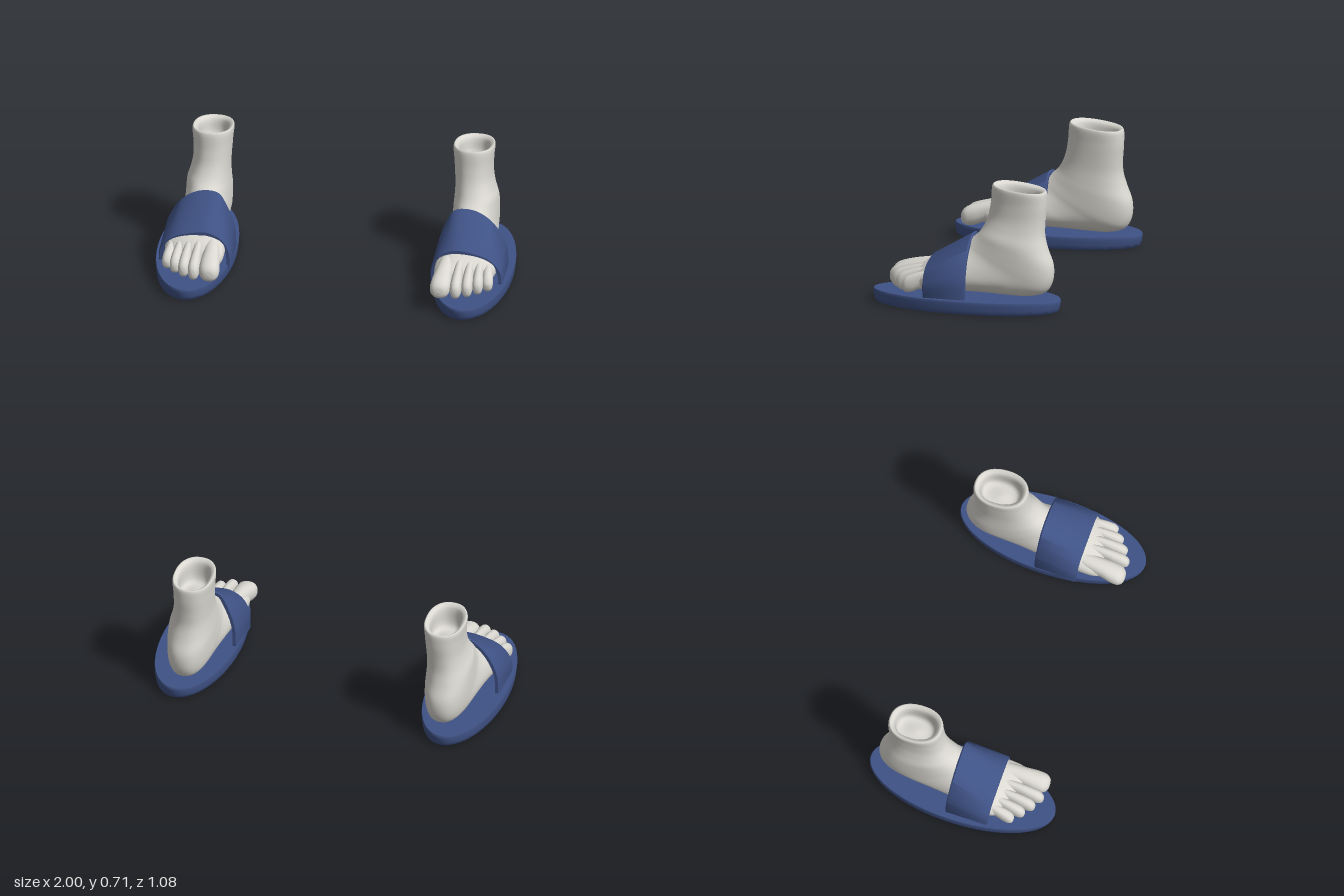
import * as THREE from 'three';
import { toCreasedNormals } from 'three/addons/utils/BufferGeometryUtils.js';

const V = (x, y, z = 0) => new THREE.Vector3(x, y, z);
const spow = (v, e) => Math.sign(v) * Math.abs(v) ** e;

// Skin a list of closed rings (arrays of Vector3); side -1 mirrors across x
function skin(rings, side) {
  const n = rings[0].length, pos = [], idx = [];
  for (const r of rings) for (const p of r) pos.push(p.x * side, p.y, p.z);
  for (let i = 0; i < rings.length - 1; i++) {
    for (let j = 0; j < n; j++) {
      const a = i * n + j, b = i * n + (j + 1) % n, c = a + n, d = b + n;
      if (side > 0) idx.push(a, c, b, b, c, d);
      else idx.push(a, b, c, b, d, c);
    }
  }
  const g = new THREE.BufferGeometry();
  g.setAttribute('position', new THREE.Float32BufferAttribute(pos, 3));
  g.setIndex(idx);
  g.computeVertexNormals();
  return g;
}

// Smooth loft; each section is [backY, backZ, frontY, frontZ, centreX, halfWidth]
function loft(sections, side, steps, n, bend = p => p) {
  const back = new THREE.CatmullRomCurve3(sections.map(s => V(s[0], s[1], s[4])));
  const front = new THREE.CatmullRomCurve3(sections.map(s => V(s[2], s[3], s[5])));
  const rings = [];
  for (let i = 0; i <= steps; i++) {
    const b = back.getPoint(i / steps), f = front.getPoint(i / steps);
    const ring = [];
    for (let j = 0; j < n; j++) {
      const t = j / n * Math.PI * 2;
      const c = (1 + spow(Math.cos(t), 0.88)) / 2, s = spow(Math.sin(t), 0.88);
      ring.push(bend(V(b.z + Math.max(0, f.z) * s, b.x + (f.x - b.x) * c, b.y + (f.y - b.y) * c)));
    }
    rings.push(ring);
  }
  return skin(rings, side);
}

// Hollow ankle, heel, sole and instep in one sweep
const FOOT = [
  [0.57, -0.29, 0.57, -0.29, 0.735, 0],
  [0.57, -0.39, 0.57, -0.19, 0.735, 0.075],
  [0.655, -0.415, 0.685, -0.17, 0.735, 0.086],
  [0.67, -0.44, 0.705, -0.143, 0.735, 0.112],
  [0.6, -0.447, 0.6, -0.13, 0.735, 0.108],
  [0.5, -0.44, 0.52, -0.115, 0.738, 0.105],
  [0.42, -0.44, 0.47, -0.095, 0.745, 0.11],
  [0.34, -0.46, 0.43, -0.07, 0.752, 0.12],
  [0.25, -0.492, 0.4, -0.04, 0.752, 0.124],
  [0.16, -0.487, 0.382, -0.015, 0.752, 0.125],
  [0.105, -0.455, 0.366, 0.01, 0.752, 0.125],
  [0.08, -0.38, 0.35, 0.035, 0.755, 0.126],
  [0.078, -0.25, 0.333, 0.065, 0.757, 0.132],
  [0.085, -0.1, 0.31, 0.1, 0.757, 0.145],
  [0.085, 0.05, 0.283, 0.15, 0.76, 0.16],
  [0.08, 0.18, 0.252, 0.21, 0.763, 0.17],
  [0.082, 0.27, 0.222, 0.27, 0.763, 0.165],
  [0.1, 0.315, 0.195, 0.31, 0.763, 0.14],
  [0.15, 0.33, 0.15, 0.33, 0.763, 0],
];

// Toes: base x, tip x, base z, tip z, half width, top height
const TOES = [
  [0.66, 0.648, 0.22, 0.468, 0.056, 0.2],
  [0.735, 0.738, 0.22, 0.462, 0.032, 0.198],
  [0.79, 0.798, 0.2, 0.432, 0.031, 0.194],
  [0.84, 0.853, 0.18, 0.39, 0.03, 0.19],
  [0.885, 0.903, 0.15, 0.342, 0.031, 0.182],
];

function toe([x0, x1, z0, z1, w, top], side) {
  const rows = [[0, 0.1, 0.04, 0.85], [0.45, 0.105, 0.02, 0.9], [0.7, 0.085, 0.004, 1.02],
    [0.87, 0.083, -0.012, 0.95], [0.97, 0.1, -0.036, 0.6]].map(([t, bottom, rise, k]) => {
    const z = z0 + (z1 - z0) * t;
    return [bottom, z, top + rise, z, x0 + (x1 - x0) * t, w * k];
  });
  rows.push([0.13, z1, 0.13, z1, x1, 0]);
  return loft(rows, side, 24, 18);
}

// Strap: an arch profile at the front edge and a taller one at the back
const FRONT = [[0.562, 0.05], [0.567, 0.15], [0.61, 0.232], [0.69, 0.272], [0.8, 0.262], [0.9, 0.225], [0.96, 0.15], [0.967, 0.05]];
const BACK = [[0.565, 0.05], [0.575, 0.2], [0.622, 0.33], [0.67, 0.4], [0.78, 0.402], [0.88, 0.335], [0.955, 0.2], [0.967, 0.05]];

function strap(side) {
  const [f, b] = [FRONT, BACK].map(a => new THREE.CatmullRomCurve3(a.map(p => V(p[0], p[1]))));
  const edge = (c, t, inset, z) => {
    const p = c.getPoint(t), d = c.getTangent(t);
    return V(p.x + d.y * inset, p.y - d.x * inset, z);
  };
  const rings = [];
  for (let i = 0; i <= 48; i++) {
    const t = i / 48;
    const lean = 0.01 * Math.sin(Math.PI * t), zf = 0.203 + lean, zb = -0.042 + lean;
    rings.push([
      edge(f, t, 0.006, zf), edge(f, t, 0, zf - 0.008),
      edge(b, t, 0, zb + 0.008), edge(b, t, 0.006, zb),
      edge(b, t, 0.024, zb), edge(f, t, 0.024, zf),
    ]);
  }
  return toCreasedNormals(skin(rings, side), 0.9);
}

// Oval sole with softly rounded lower edge
function sole(side) {
  const profile = [[0, 0], [0.96, 0], [0.978, 0.006], [0.99, 0.025], [1, 0.055], [0.998, 0.068], [0.99, 0.073], [0, 0.073]];
  const g = new THREE.LatheGeometry(profile.map(p => new THREE.Vector2(...p)), 64);
  g.scale(0.22, 1, 0.542);
  g.translate(0.78 * side, 0, 0);
  return toCreasedNormals(g, 0.7);
}

export function createModel() {
  const skinMat = new THREE.MeshStandardMaterial({ color: 0xdad8d1 });
  skinMat.name = 'pale grey skin';
  const blue = new THREE.MeshStandardMaterial({ color: 0x3f5285 });
  blue.name = 'navy rubber';

  const model = new THREE.Group();
  model.name = 'feetInSlides';
  // Outer toes start further back than the big toe
  const slant = p => {
    p.z -= Math.max(0, p.z - 0.15) * (p.x - 0.72) * 2;
    return p;
  };

  for (const side of [1, -1]) {
    const group = new THREE.Group();
    group.name = side > 0 ? 'leftSlide' : 'rightSlide';
    const add = (name, geometry, material) => {
      const mesh = new THREE.Mesh(geometry, material);
      mesh.name = name;
      group.add(mesh);
    };
    add('sole', sole(side), blue);
    add('strap', strap(side), blue);
    add('foot', loft(FOOT, side, 90, 40, slant), skinMat);
    TOES.forEach((t, i) => add('toe' + (i + 1), toe(t, side), skinMat));
    model.add(group);
  }
  return model;
}
